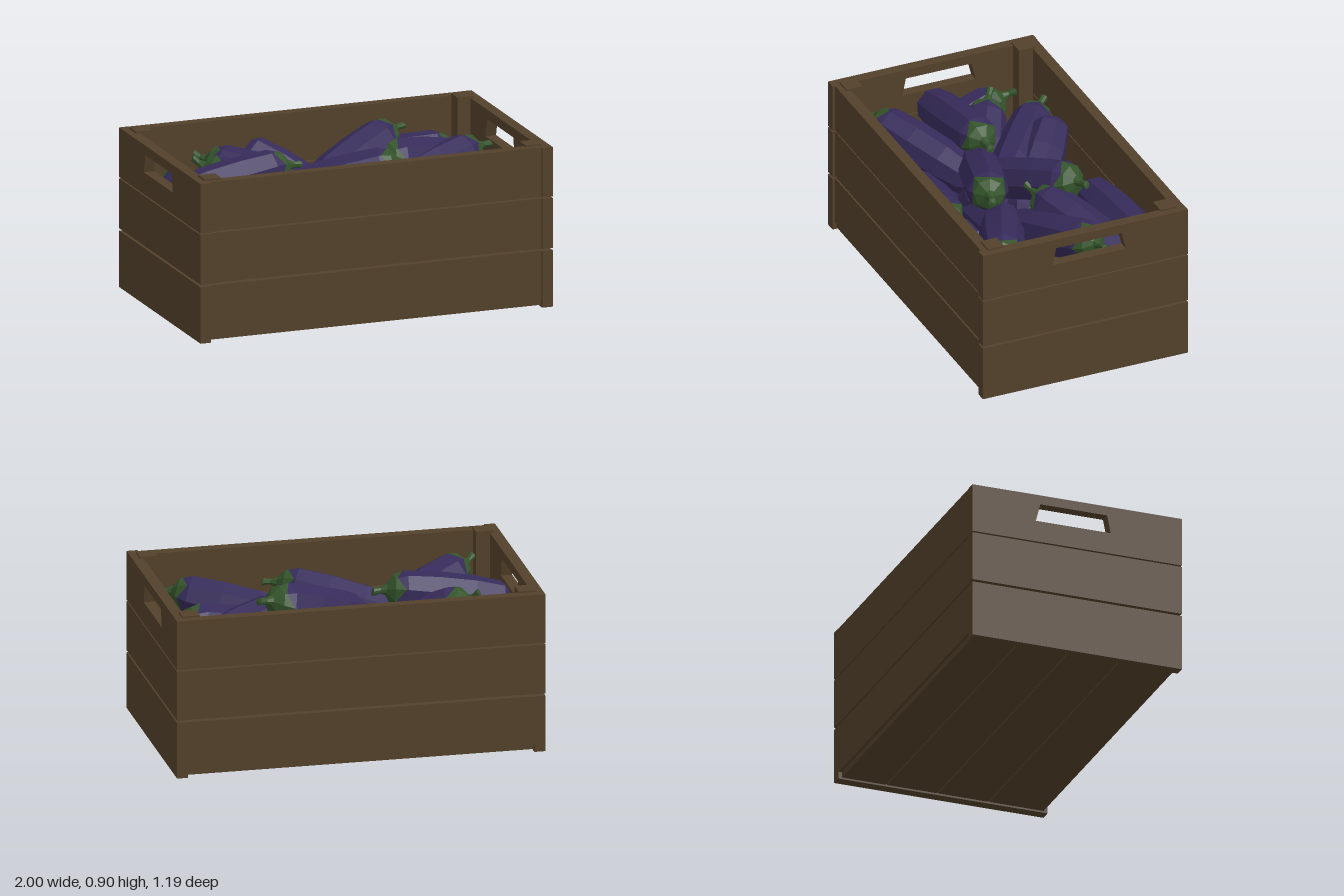
import * as THREE from 'three';

const mat = (name, color) => {
  const m = new THREE.MeshStandardMaterial({ color, flatShading: true });
  m.name = name;
  return m;
};

export function createModel() {
  const root = new THREE.Group();
  root.name = 'crateOfAubergines';
  const wood = mat('brown wood', 0x53402a);
  const purple = mat('purple skin', 0x362b5a);
  const green = mat('green stem', 0x33532a);

  const crate = new THREE.Group();
  crate.name = 'crate';
  root.add(crate);

  // box given by its lower and upper limits
  const board = (name, x0, x1, y0, y1, z0, z1) => {
    const m = new THREE.Mesh(new THREE.BoxGeometry(x1 - x0, y1 - y0, z1 - z0), wood);
    m.position.set((x0 + x1) / 2, (y0 + y1) / 2, (z0 + z1) / 2);
    m.name = name;
    crate.add(m);
  };

  // long side planks, three to a side
  for (const [y0, y1] of [[0.04, 0.31], [0.323, 0.597], [0.605, 0.877]]) {
    board('frontPlank', -0.94, 0.94, y0, y1, 0.52, 0.58);
    board('backPlank', -0.94, 0.94, y0, y1, -0.593, -0.535);
  }

  // floor planks
  for (const [z0, z1] of [[-0.575, -0.324], [-0.317, -0.034], [-0.027, 0.257], [0.263, 0.572]])
    board('floorPlank', -0.94, 0.94, 0.01, 0.04, z0, z1);

  // top end plank with a hand hole
  const end = new THREE.Shape();
  end.moveTo(-0.595, 0.605).lineTo(0.595, 0.605).lineTo(0.595, 0.877).lineTo(-0.595, 0.877).closePath();
  const hole = new THREE.Path();
  hole.moveTo(-0.19, 0.725).lineTo(-0.17, 0.825).lineTo(0.21, 0.825).lineTo(0.235, 0.725).closePath();
  end.holes.push(hole);
  const endGeo = new THREE.ExtrudeGeometry(end, { depth: 0.06, bevelEnabled: false });
  endGeo.rotateY(Math.PI / 2);

  // end planks and corner posts
  for (const s of [-1, 1]) {
    const x0 = s > 0 ? 0.94 : -1;
    board('endPlank', x0, x0 + 0.06, 0, 0.31, -0.595, 0.595);
    board('endPlank', x0, x0 + 0.06, 0.323, 0.597, -0.595, 0.595);
    const handle = new THREE.Mesh(endGeo, wood);
    handle.position.x = x0;
    handle.name = 'handlePlank';
    crate.add(handle);
    const px = s > 0 ? 0.865 : -0.96;
    board('cornerPost', px, px + 0.095, 0.04, 0.887, 0.455, 0.547);
    board('cornerPost', px, px + 0.095, 0.04, 0.887, -0.547, -0.452);
  }

  // aubergine body, blunt end at y = 0
  const lathe = (pts) => new THREE.LatheGeometry(
    pts.map(([r, y]) => new THREE.Vector2(r, y)), 8, Math.PI / 8);
  const bodyGeo = lathe([[0, 0], [0.07, 0.005], [0.1, 0.04], [0.119, 0.2], [0.121, 0.4],
    [0.11, 0.58], [0.08, 0.64], [0, 0.66]]);

  // cap with alternate points drawn up into leaf tips, and a short bent stem
  const capPts = [[0.109, 0.59], [0.083, 0.643], [0.03, 0.675], [0.017, 0.705], [0.022, 0.745], [0, 0.75]];
  const capGeo = lathe(capPts);
  const p = capGeo.attributes.position;
  for (let i = 0; i < p.count; i++) {
    const ring = i % capPts.length, side = Math.floor(i / capPts.length);
    if (ring === 0 && side % 2) {
      const k = 0.089 / 0.109;
      p.setXYZ(i, p.getX(i) * k, 0.632, p.getZ(i) * k);
    }
    if (ring > 2) p.setX(i, p.getX(i) + (p.getY(i) - 0.68) * 0.3);
  }
  capGeo.computeVertexNormals();

  // each entry: stem tip, then a point towards the blunt end
  const places = [
    // top layer
    [-0.2, 0.77, 0.01, -0.94, 0.64, 0.03],
    [0.34, 0.79, 0.25, -0.27, 0.62, 0.05],
    [0.47, 0.85, -0.25, 0.0, 0.67, -0.03],
    [0.15, 0.38, 0.01, -0.34, 0.73, -0.41],
    [-0.63, 0.71, -0.48, -0.1, 0.58, -0.02],
    [-0.74, 0.77, -0.22, -0.3, 0.52, 0.03],
    [-0.8, 0.7, -0.4, -0.78, 0.42, 0.3],
    [-0.86, 0.74, 0.46, -0.25, 0.56, 0.1],
    [0.16, 0.56, 0.38, -0.52, 0.45, 0.32],
    [0.9, 0.63, -0.43, 0.12, 0.58, -0.41],
    [0.21, 0.74, -0.01, 0.86, 0.59, -0.28],
    [0.93, 0.73, -0.15, 0.3, 0.55, 0.04],
    [0.87, 0.72, 0.42, 0.2, 0.58, 0.13],
    // middle layer
    [0.04, 0.36, 0.28, 0.7, 0.43, 0.42],
    [0.79, 0.5, -0.38, 0.69, 0.4, 0.28],
    [0.89, 0.36, -0.4, 0.15, 0.34, -0.4],
    [-0.6, 0.36, -0.26, -0.15, 0.3, 0.1],
    [-0.4, 0.4, 0.1, 0.3, 0.38, 0],
    // bottom layer
    [-0.78, 0.21, 0.38, -0.78, 0.22, -0.3],
    [0.1, 0.17, 0.3, -0.6, 0.16, 0.31],
    [0.05, 0.17, 0.32, 0.75, 0.16, 0.37],
    [-0.5, 0.17, -0.02, 0.2, 0.16, 0],
    [0.82, 0.17, -0.38, 0.1, 0.16, -0.38],
    [0.8, 0.17, 0.12, 0.3, 0.16, -0.04],
  ];
  const up = new THREE.Vector3(0, 1, 0);
  for (const [ax, ay, az, bx, by, bz] of places) {
    const tip = new THREE.Vector3(ax, ay, az);
    const dir = tip.clone().sub(new THREE.Vector3(bx, by, bz)).normalize();
    const g = new THREE.Group();
    g.name = 'aubergine';
    const body = new THREE.Mesh(bodyGeo, purple);
    body.name = 'body';
    const cap = new THREE.Mesh(capGeo, green);
    cap.name = 'capAndStem';
    g.add(body, cap);
    g.quaternion.setFromUnitVectors(up, dir);
    g.position.copy(tip).addScaledVector(dir, -0.75);
    root.add(g);
  }
  return root;
}
